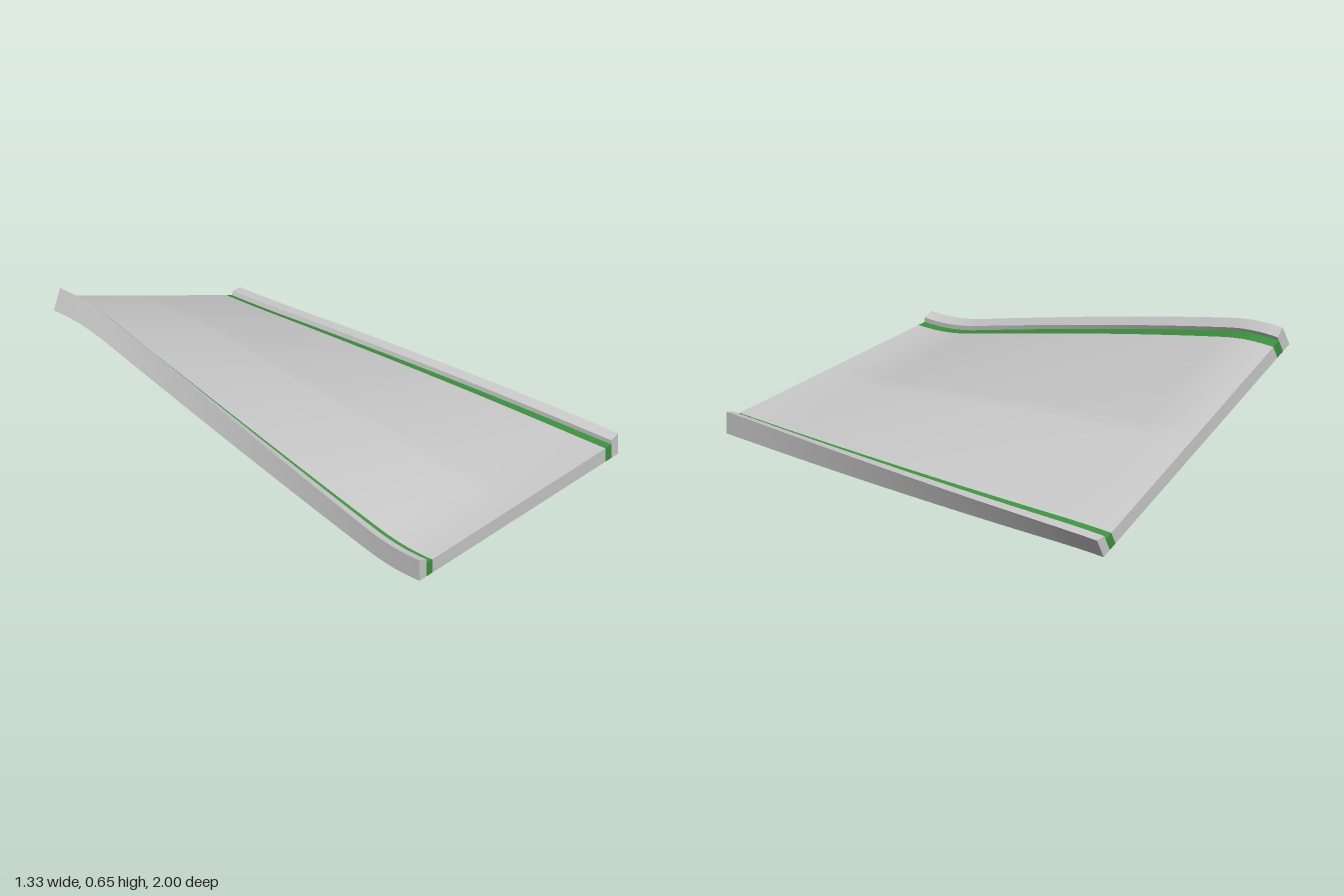
import * as THREE from 'three';

const SEGMENTS = 60;
const BANK = THREE.MathUtils.degToRad(25); // roll reached at the back end
const EASE = 0.28;                         // length over which the roll starts and ends
const HALF = 0.665, INNER = 0.62, LINE = 0.58, STRIPE = 0.02;
const THICK = 0.065, HINGE = 0.63;

// Roll angle after distance d from the front: eases in, runs steadily, eases out
function roll(d) {
  const rate = BANK / (2 - EASE);
  if (d < EASE) return rate * d * d / (2 * EASE);
  if (d > 2 - EASE) return BANK - rate * (2 - d) ** 2 / (2 * EASE);
  return rate * (d - EASE / 2);
}

// Point of the cross-section (u across, v up from the road) at distance d
function place([u, v], d) {
  const a = roll(d), s = Math.sin(a), c = Math.cos(a);
  return [u * c + v * s, 0.075 + HINGE * s - u * s + v * c, 1 - d];
}

// Sweeps a counterclockwise section along the track, with hard edges and end caps
function sweep(section) {
  const pos = [], index = [];
  section.forEach((a, k) => {
    const b = section[(k + 1) % section.length];
    // Sides buried against the neighbouring strip are left out
    if (a[0] === b[0] && Math.abs(a[0]) < HALF && Math.max(a[1], b[1]) <= 0) return;
    const start = pos.length / 3;
    for (let i = 0; i <= SEGMENTS; i++) {
      const d = 2 * i / SEGMENTS;
      pos.push(...place(a, d), ...place(b, d));
      if (i === SEGMENTS) break;
      const n = start + 2 * i;
      index.push(n, n + 2, n + 1, n + 1, n + 2, n + 3);
    }
  });
  for (const d of [0, 2]) {
    const start = pos.length / 3;
    section.forEach(p => pos.push(...place(p, d)));
    for (let k = 1; k < section.length - 1; k++) {
      if (d === 0) index.push(start, start + k, start + k + 1);
      else index.push(start, start + k + 1, start + k);
    }
  }
  const g = new THREE.BufferGeometry();
  g.setAttribute('position', new THREE.Float32BufferAttribute(pos, 3));
  g.setIndex(index);
  g.computeVertexNormals();
  return g;
}

const strip = (a, b) => [[a, -THICK], [b, -THICK], [b, 0], [a, 0]];
const mirror = section => section.map(([u, v]) => [-u, v]).reverse();

export function createModel() {
  const group = new THREE.Group();
  group.name = 'bankedTrack';
  const grey = new THREE.MeshStandardMaterial({ color: 0xcccccc });
  const green = new THREE.MeshStandardMaterial({ color: 0x3b963d });
  const white = new THREE.MeshStandardMaterial({ color: 0xf2f2f2 });

  const add = (name, section, material) => {
    const mesh = new THREE.Mesh(sweep(section), material);
    mesh.name = name;
    group.add(mesh);
  };
  const addPair = (name, section, material) => {
    add('left' + name, section, material);
    add('right' + name, mirror(section), material);
  };

  // Road deck with its coloured bands, which run through the full thickness
  add('centreStripe', strip(-STRIPE, STRIPE), white);
  addPair('Lane', strip(STRIPE, LINE), grey);
  addPair('EdgeLine', strip(LINE, INNER), green);

  // Raised side walls with a top that slopes inward
  addPair('Wall', [
    [HALF, -THICK], [HALF, 0.035], [INNER, 0.02], [INNER, 0], [INNER, -THICK],
  ], grey);
  return group;
}
